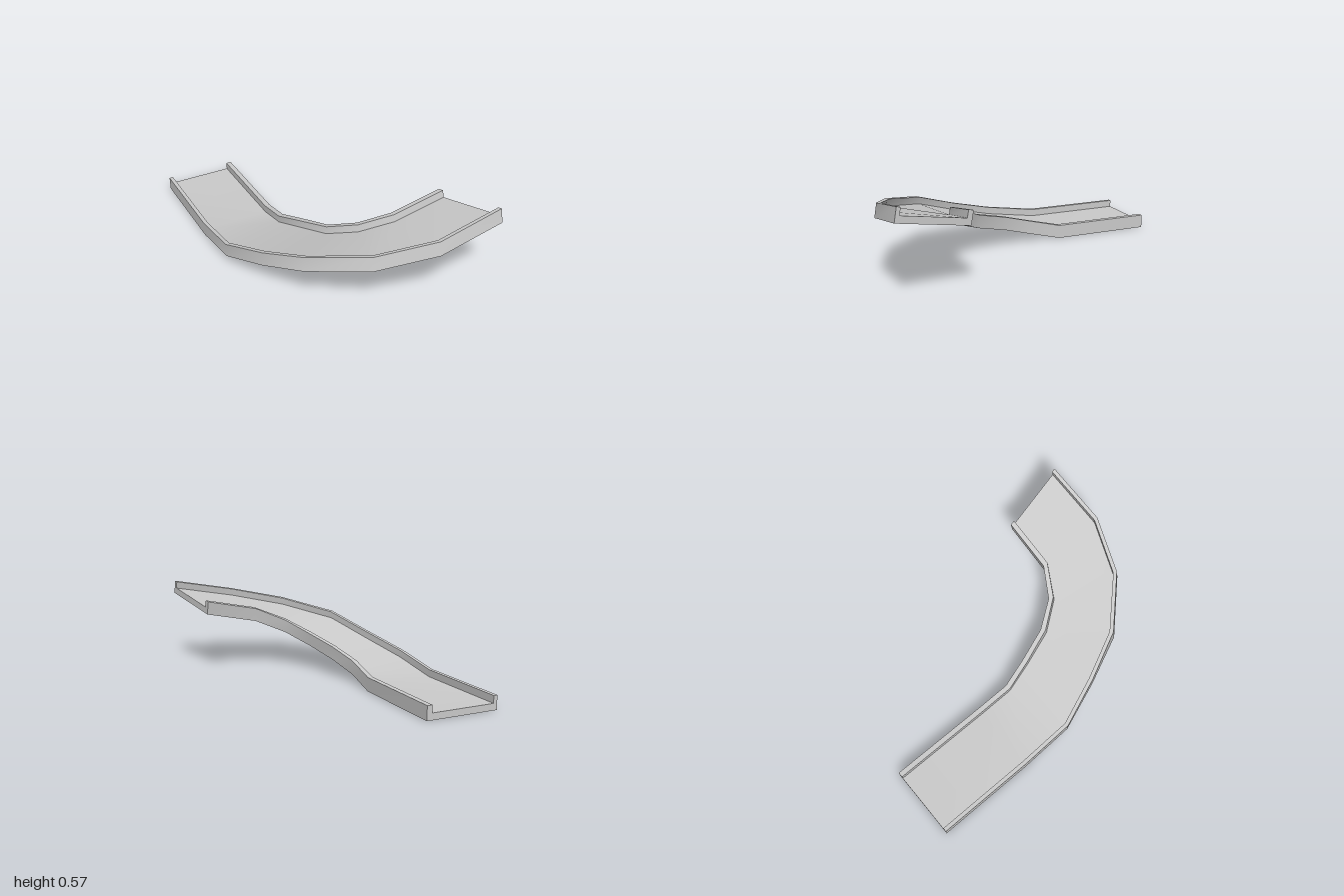
import * as THREE from 'three';
import { mergeGeometries } from 'three/addons/utils/BufferGeometryUtils.js';

// Bottom edges of the channel, station by station from the back end to the raised end
const OUTER = [[-0.645, 0, -1], [-0.645, 0, -0.35], [-0.64, 0.055, 0], [-0.535, 0.145, 0.3],
  [-0.41, 0.25, 0.59], [-0.13, 0.33, 0.865], [0.22, 0.4, 1], [0.64, 0.48, 0.995]];
const INNER = [[-0.175, 0, -1], [-0.175, 0, -0.35], [-0.185, 0.055, -0.13], [-0.14, 0.115, 0.06],
  [-0.08, 0.17, 0.27], [0.033, 0.245, 0.433], [0.21, 0.32, 0.535], [0.547, 0.39, 0.545]];
const RAIL_HEIGHT = 0.088, FLOOR = 0.042, OUTER_RAIL = 0.025, INNER_RAIL = 0.033;

// U-shaped cross-section, banked to follow the line between the two edges
function crossSection(o, i) {
  const a = new THREE.Vector3(...o), b = new THREE.Vector3(...i);
  const width = a.distanceTo(b);
  const across = b.clone().sub(a).normalize();
  const up = new THREE.Vector3(0, 1, 0).addScaledVector(across, -across.y).normalize();
  return [[0, 0], [width, 0], [width, RAIL_HEIGHT], [width - INNER_RAIL, RAIL_HEIGHT],
    [width - INNER_RAIL, FLOOR], [OUTER_RAIL, FLOOR], [OUTER_RAIL, RAIL_HEIGHT], [0, RAIL_HEIGHT]]
    .map(([s, h]) => a.clone().addScaledVector(across, s).addScaledVector(up, h));
}

function surface(points, index) {
  const g = new THREE.BufferGeometry().setFromPoints(points);
  g.setIndex(index);
  g.computeVertexNormals();
  return g;
}

// One lengthwise face, smooth along the bend and sharp at its edges
function strip(sections, j) {
  const k = (j + 1) % 8, points = [], index = [];
  sections.forEach((s, n) => {
    points.push(s[j], s[k]);
    if (n < sections.length - 1) {
      const p = 2 * n;
      index.push(p, p + 1, p + 2, p + 1, p + 3, p + 2);
    }
  });
  return surface(points, index);
}

// Flat U-shaped end face
function cap(section, flip) {
  const index = [];
  for (const [a, b, c, d] of [[0, 1, 4, 5], [1, 2, 3, 4], [0, 5, 6, 7]]) {
    index.push(...(flip ? [a, c, b, a, d, c] : [a, b, c, a, c, d]));
  }
  return surface(section, index);
}

export function createModel() {
  const group = new THREE.Group();
  group.name = 'curvedRamp';
  const material = new THREE.MeshStandardMaterial({ color: 0xcccccc });
  const sections = OUTER.map((o, n) => crossSection(o, INNER[n]));

  // Lengthwise faces belonging to each part
  const parts = { floor: [0, 4], innerRail: [1, 2, 3], outerRail: [5, 6, 7] };
  for (const [name, faces] of Object.entries(parts)) {
    const mesh = new THREE.Mesh(mergeGeometries(faces.map((j) => strip(sections, j))), material);
    mesh.name = name;
    group.add(mesh);
  }

  // End faces
  [['lowerEnd', 0, true], ['upperEnd', sections.length - 1, false]].forEach(([name, n, flip]) => {
    const mesh = new THREE.Mesh(cap(sections[n], flip), material);
    mesh.name = name;
    group.add(mesh);
  });
  return group;
}
